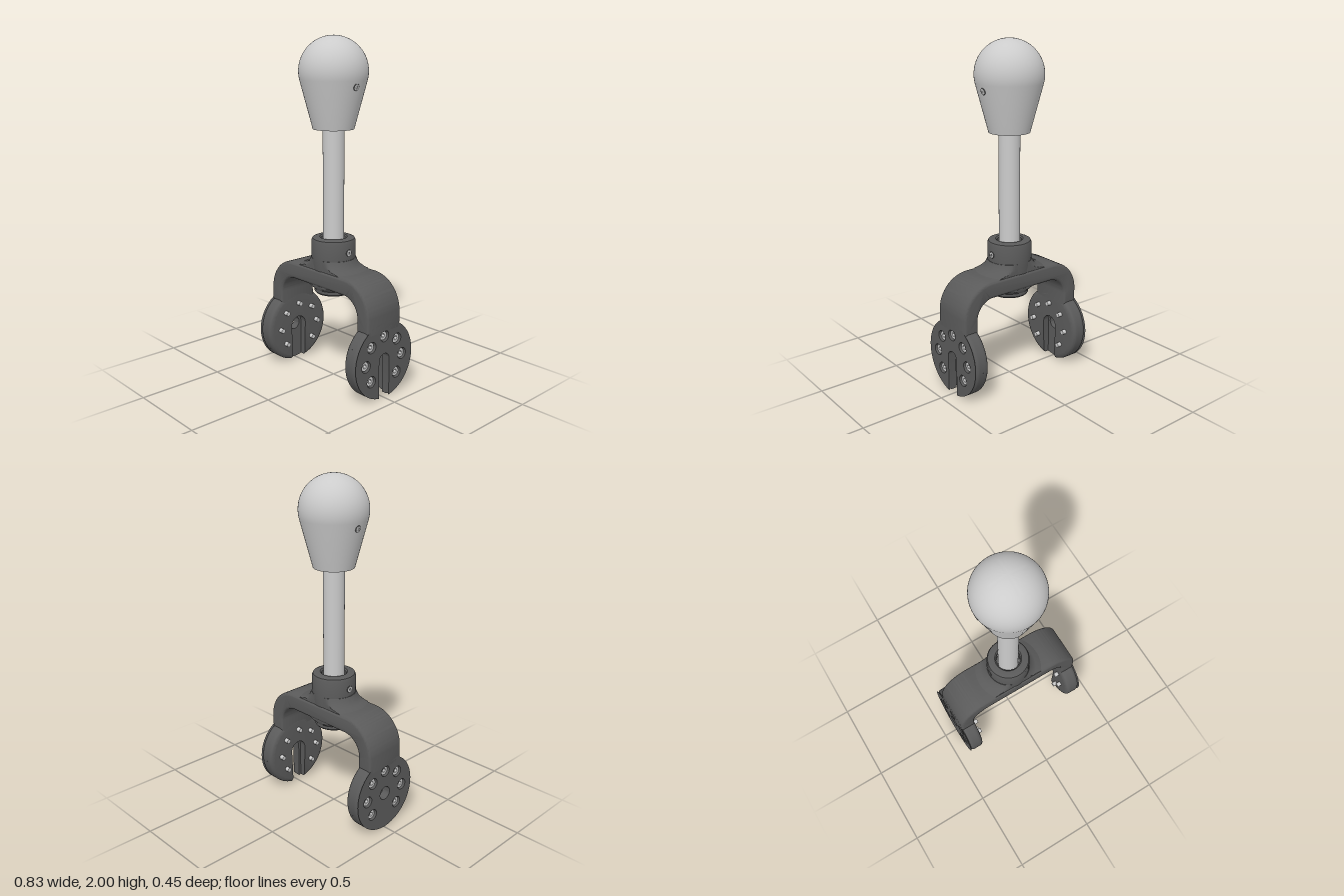
import * as THREE from 'three';
import { toCreasedNormals } from 'three/addons/utils/BufferGeometryUtils.js';

const light = new THREE.MeshStandardMaterial({ color: 0xcccccc });
const dark = new THREE.MeshStandardMaterial({ color: 0x5a5a5a });
const HUB_Y = 0.23, R = 0.225, INNER = 0.322, MID = 0.365, OUTER = 0.417;

function add(parent, name, geometry, material) {
  const mesh = new THREE.Mesh(geometry, material);
  mesh.name = name;
  parent.add(mesh);
  return mesh;
}

// Turned part from [radius, height] pairs, with crisp corners
function turned(points, segments = 64) {
  const pts = points.map(([r, y]) => new THREE.Vector2(r, y));
  return toCreasedNormals(new THREE.LatheGeometry(pts, segments), 0.6);
}

// Turned part trimmed to the depth of the fork bridge
function trimmed(points, depth) {
  const g = new THREE.LatheGeometry(points.map(([r, y]) => new THREE.Vector2(r, y)), 96);
  const p = g.attributes.position;
  for (let i = 0; i < p.count; i++) p.setZ(i, THREE.MathUtils.clamp(p.getZ(i), -depth, depth));
  return toCreasedNormals(g, 0.6);
}

// Screw head with a hex socket, facing +x with its seat at x = 0
function screwHead(parent, name, radius, height) {
  const group = new THREE.Group();
  group.name = name;
  const shape = new THREE.Shape().absarc(0, 0, radius, 0, Math.PI * 2);
  const socket = new THREE.Path();
  for (let i = 0; i < 6; i++) {
    const a = -i * Math.PI / 3, r = radius * 0.5;
    if (i) socket.lineTo(r * Math.cos(a), r * Math.sin(a));
    else socket.moveTo(r, 0);
  }
  socket.closePath();
  shape.holes.push(socket);
  const g = new THREE.ExtrudeGeometry(shape, { depth: height, bevelEnabled: false, curveSegments: 12 });
  add(group, 'screwHead', g.rotateY(Math.PI / 2), light);
  const floor = new THREE.CircleGeometry(radius * 0.9, 16).rotateY(Math.PI / 2);
  add(group, 'socketFloor', floor.translate(height * 0.25, 0, 0), dark);
  parent.add(group);
  return group;
}

// Seven screw positions around the hub
const screwSpots = Array.from({ length: 7 }, (_, i) => {
  const a = (i - 1) * Math.PI / 4;
  return [0.143 * Math.cos(a), 0.143 * Math.sin(a)];
});

// One layer of a hub plate; the rim is rounded towards its outward side
function plateLayer(thickness, slotHalf, slotted, holeRadius, roundAtEnd) {
  const shape = new THREE.Shape();
  if (slotted) {
    const a = Math.asin(slotHalf / R);
    shape.absarc(0, 0, R, -Math.PI / 2 + a, Math.PI * 1.5 - a, false);
    shape.lineTo(-slotHalf, 0);
    shape.absarc(0, 0, slotHalf, Math.PI, 0, true);
    shape.closePath();
  } else {
    shape.absarc(0, 0, R, 0, Math.PI * 2);
    shape.holes.push(new THREE.Path().absarc(0, 0, slotHalf, 0, Math.PI * 2, true));
  }
  if (holeRadius) {
    for (const [u, v] of screwSpots) {
      shape.holes.push(new THREE.Path().absarc(u, v, holeRadius, 0, Math.PI * 2, true));
    }
  }
  const g = new THREE.ExtrudeGeometry(shape, { depth: thickness, steps: 8, bevelEnabled: false, curveSegments: 40 });
  const p = g.attributes.position, b = 0.026;
  for (let i = 0; i < p.count; i++) {
    const x = p.getX(i), y = p.getY(i), r = Math.hypot(x, y);
    const d = Math.min(b, roundAtEnd ? thickness - p.getZ(i) : p.getZ(i));
    const limit = R - b + Math.sqrt(b * b - (b - d) ** 2);
    if (r > limit) p.setXY(i, x * limit / r, y * limit / r);
  }
  return toCreasedNormals(g, 0.6).rotateY(Math.PI / 2);
}

// Slotted plate at the end of an arm, with its ring of screws
function hubPlate(name, openSlot) {
  const hub = new THREE.Group();
  hub.name = name;
  hub.position.y = HUB_Y;
  add(hub, 'innerPlate', plateLayer(MID - INNER, 0.055, true, 0, false), dark).position.x = INNER;
  add(hub, 'outerPlate', plateLayer(OUTER - MID, 0.04, openSlot, 0.033, true), dark).position.x = MID;
  for (const [u, v] of screwSpots) {
    screwHead(hub, 'plateScrew', 0.027, 0.04).position.set(MID, v, u);
    const tip = new THREE.CylinderGeometry(0.014, 0.014, 0.05, 16).rotateZ(Math.PI / 2);
    add(hub, 'screwTip', tip, light).position.set(0.32, v, u);
  }
  return hub;
}

// U-shaped fork with rounded shoulders and edges
function forkGeometry() {
  const s = new THREE.Shape();
  s.moveTo(OUTER, 0.4);
  s.lineTo(OUTER, 0.49);
  s.absarc(OUTER - 0.195, 0.49, 0.195, 0, Math.PI / 2, false);
  s.lineTo(-OUTER + 0.195, 0.685);
  s.absarc(-OUTER + 0.195, 0.49, 0.195, Math.PI / 2, Math.PI, false);
  s.lineTo(-OUTER, 0.4);
  s.lineTo(-INNER, 0.4);
  s.lineTo(-INNER, 0.475);
  s.absarc(-INNER + 0.11, 0.475, 0.11, Math.PI, Math.PI / 2, true);
  s.lineTo(INNER - 0.11, 0.585);
  s.absarc(INNER - 0.11, 0.475, 0.11, Math.PI / 2, 0, true);
  s.lineTo(INNER, 0.4);
  s.closePath();
  const b = 0.018;
  const g = new THREE.ExtrudeGeometry(s, {
    depth: 0.258 - 2 * b, bevelThickness: b, bevelSize: b, bevelOffset: -b, bevelSegments: 4, curveSegments: 20,
  });
  return toCreasedNormals(g.translate(0, 0, -0.129 + b), 0.6);
}

export function createModel() {
  const model = new THREE.Group();
  model.name = 'forkLever';

  // Fork bridge, arms and blended centre
  const fork = new THREE.Group();
  fork.name = 'fork';
  model.add(fork);
  add(fork, 'forkArms', forkGeometry(), dark);
  add(fork, 'upperFillet', trimmed([[0.215, 0.675], [0.2, 0.687], [0.17, 0.695], [0.145, 0.712], [0.13, 0.745], [0.1, 0.75]], 0.122), dark);
  add(fork, 'lowerFillet', trimmed([[0.1, 0.56], [0.112, 0.56], [0.13, 0.575], [0.17, 0.592]], 0.12), dark);
  add(fork, 'collar', turned([
    [0.125, 0.68], [0.128, 0.72], [0.128, 0.845], [0.122, 0.859], [0.108, 0.865],
    [0.08, 0.865], [0.072, 0.858], [0.072, 0.8], [0.05, 0.8],
  ]), dark);
  add(fork, 'lowerBoss', turned([
    [0, 0.556], [0.068, 0.556], [0.068, 0.538], [0.074, 0.533], [0.104, 0.533], [0.111, 0.542], [0.111, 0.6],
  ]), dark);
  add(fork, 'washer', new THREE.CylinderGeometry(0.058, 0.058, 0.015, 32), light).position.y = 0.55;
  const bolt = screwHead(fork, 'bottomBolt', 0.038, 0.03);
  bolt.rotation.z = -Math.PI / 2;
  bolt.position.y = 0.55;

  // Hub plates: open slot on the left, blind slot with a centre hole on the right
  model.add(hubPlate('leftHubPlate', true));
  const rightHub = hubPlate('rightHubPlate', false);
  rightHub.rotation.y = Math.PI;
  model.add(rightHub);

  // Shaft
  add(model, 'shaft', new THREE.CylinderGeometry(0.061, 0.061, 0.76, 48), light).position.y = 1.18;

  // Knob with a hollow foot and a domed top
  const profile = [[0.058, 1.52], [0.088, 1.52], [0.088, 1.492], [0.094, 1.487], [0.117, 1.487]];
  for (let i = 0; i <= 24; i++) {
    const a = THREE.MathUtils.lerp(-0.24, Math.PI / 2, i / 24);
    profile.push([Math.max(0, 0.195 * Math.cos(a)), 1.805 + 0.195 * Math.sin(a)]);
  }
  add(model, 'knob', turned(profile), light);

  // Set screws on both sides of the knob and collar
  for (const side of [1, -1]) {
    for (const [name, x, y, tilt] of [['knobSetScrew', 0.1805, 1.725, -0.24], ['collarSetScrew', 0.128, 0.79, 0]]) {
      const set = new THREE.Group();
      set.name = name;
      set.position.set(side * x, y, 0);
      set.rotation.set(0, side > 0 ? 0 : Math.PI, tilt * side);
      if (side < 0) set.rotation.z = tilt;
      add(set, 'holeRim', new THREE.TorusGeometry(0.017, 0.003, 8, 24).rotateY(Math.PI / 2), dark);
      screwHead(set, 'setScrew', 0.016, 0.012).position.x = -0.009;
      model.add(set);
    }
  }
  return model;
}
